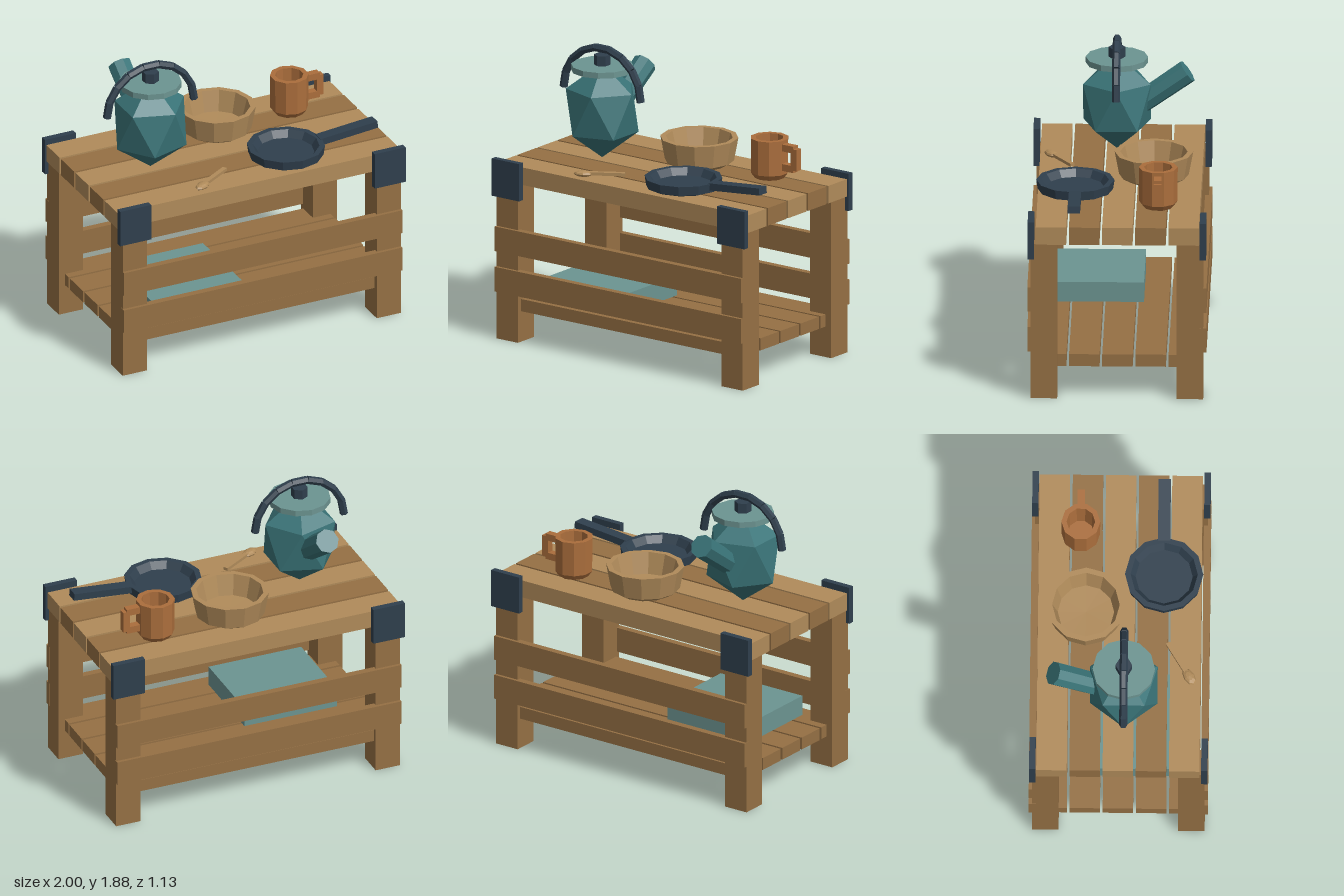
import * as THREE from 'three';
import { ConvexGeometry } from 'three/addons/geometries/ConvexGeometry.js';

const mat = (color) => new THREE.MeshStandardMaterial({ color, flatShading: true, side: THREE.DoubleSide });
const M = {
  light: mat(0xb08b5a), wood: mat(0x957044), iron: mat(0x2f3f4d),
  teal: mat(0x3a7478), paleTeal: mat(0x6c9491), bowl: mat(0xb08b5a), copper: mat(0xab6e3c),
};
const V2 = (p) => new THREE.Vector2(p[0], p[1]);
const V3 = (x, y, z) => new THREE.Vector3(x, y, z);

export function createModel() {
  const root = new THREE.Group();

  const add = (parent, name, geometry, material, x = 0, y = 0, z = 0) => {
    const mesh = new THREE.Mesh(geometry, material);
    mesh.name = name;
    mesh.position.set(x, y, z);
    parent.add(mesh);
    return mesh;
  };
  // box given by its limits on each axis
  const box = (parent, name, material, [x0, x1], [y0, y1], [z0, z1]) =>
    add(parent, name, new THREE.BoxGeometry(x1 - x0, y1 - y0, z1 - z0), material,
      (x0 + x1) / 2, (y0 + y1) / 2, (z0 + z1) / 2);
  // straight prism between two points
  const rod = (parent, name, material, a, b, r0, r1, sides) => {
    const d = b.clone().sub(a);
    const mesh = add(parent, name, new THREE.CylinderGeometry(r1, r0, d.length(), sides), material);
    mesh.position.copy(a).add(b).multiplyScalar(0.5);
    mesh.quaternion.setFromUnitVectors(V3(0, 1, 0), d.normalize());
    return mesh;
  };
  const group = (name, x, y, z) => {
    const g = new THREE.Group();
    g.name = name;
    g.position.set(x, y, z);
    root.add(g);
    return g;
  };
  const lathe = (parent, name, material, profile, sides) =>
    add(parent, name, new THREE.LatheGeometry(profile.map(V2), sides), material);

  // table top and lower shelf
  for (let i = 0; i < 5; i++) {
    const z = -0.421 + i * 0.209;
    const span = [z - 0.096, z + 0.096];
    box(root, 'topPlank', i % 2 ? M.wood : M.light, [-0.993, 0.99], [1.03, 1.145], span);
    box(root, 'shelfPlank', M.wood, [-0.93, 0.93], [0.2, 0.28], span);
  }

  // legs, corner plates and side rails
  for (const sz of [-1, 1]) {
    for (const sx of [-1, 1]) {
      add(root, 'leg', new THREE.BoxGeometry(0.168, 1.03, 0.168), M.wood, sx * 0.89, 0.515, sz * 0.46);
      add(root, 'cornerPlate', new THREE.BoxGeometry(0.217, 0.245, 0.04), M.iron, sx * 0.8915, 1.058, sz * 0.542);
    }
    for (const y of [0.393, 0.658])
      add(root, 'rail', new THREE.BoxGeometry(1.95, 0.162, 0.045), M.wood, 0, y, sz * 0.542);
  }

  // box stored on the shelf
  box(root, 'storageBox', M.paleTeal, [-0.71, -0.075], [0.28, 0.41], [-0.15, 0.42]);

  // kettle: faceted body made of two poles and two staggered rings of five
  const kettle = group('kettle', -0.53, 0, 0.03);
  const pts = [V3(0, 1.148, 0), V3(0, 1.766, 0)];
  for (let i = 0; i < 5; i++) {
    const a = i * Math.PI * 0.4;
    const c = Math.cos(a) * 0.233, s = Math.sin(a) * 0.224;
    pts.push(V3(c, 1.596, s), V3(-c, 1.319, s));
  }
  add(kettle, 'kettleBody', new ConvexGeometry(pts), M.teal);
  add(kettle, 'kettleLid', new THREE.CylinderGeometry(0.197, 0.197, 0.038, 12), M.paleTeal, 0, 1.738, 0);
  add(kettle, 'lidKnob', new THREE.CylinderGeometry(0.053, 0.053, 0.075, 6), M.iron, 0, 1.785, 0);
  rod(kettle, 'spout', M.teal, V3(0, 1.43, -0.12), V3(0, 1.663, -0.445), 0.073, 0.077, 8);
  const arc = (i) => V3(-0.305 * Math.cos(i * Math.PI / 9), 1.56 + 0.305 * Math.sin(i * Math.PI / 9), 0);
  for (let i = 0; i < 9; i++) rod(kettle, 'kettleHandle', M.iron, arc(i), arc(i + 1), 0.026, 0.026, 6);

  // bowl
  const bowl = group('bowl', 0.053, 1.15, -0.215);
  lathe(bowl, 'bowlShell', M.bowl,
    [[0, 0], [0.17, 0], [0.22, 0.03], [0.248, 0.18], [0.213, 0.18], [0.178, 0.045], [0, 0.04]], 12);

  // mug with a square handle
  const mug = group('mug', 0.58, 0, -0.253);
  lathe(mug, 'mugShell', M.copper,
    [[0, 1.15], [0.095, 1.15], [0.121, 1.185], [0.123, 1.41], [0.09, 1.41], [0.083, 1.2], [0, 1.2]], 10);
  for (const y of [1.237, 1.365])
    add(mug, 'mugHandleBar', new THREE.BoxGeometry(0.1, 0.045, 0.048), M.copper, 0.155, y, 0);
  add(mug, 'mugHandleGrip', new THREE.BoxGeometry(0.045, 0.14, 0.048), M.copper, 0.207, 1.3, 0);

  // frying pan
  const pan = group('pan', 0.3, 1.15, 0.275);
  lathe(pan, 'panShell', M.iron,
    [[0, 0], [0.195, 0], [0.238, 0.015], [0.247, 0.075], [0.212, 0.075], [0.18, 0.03], [0, 0.03]], 12);
  const grip = add(pan, 'panHandle', new THREE.BoxGeometry(0.4, 0.046, 0.078), M.iron, 0.427, 0.073, -0.003);
  grip.rotation.z = 0.09;

  // wooden spoon
  const spoon = group('spoon', -0.365, 1.165, 0.44);
  spoon.rotation.y = 0.55;
  add(spoon, 'spoonBowl', new THREE.SphereGeometry(1, 8, 6), M.bowl).scale.set(0.063, 0.02, 0.036);
  add(spoon, 'spoonHandle', new THREE.BoxGeometry(0.225, 0.02, 0.03), M.bowl, 0.15, 0.003, 0);

  return root;
}
